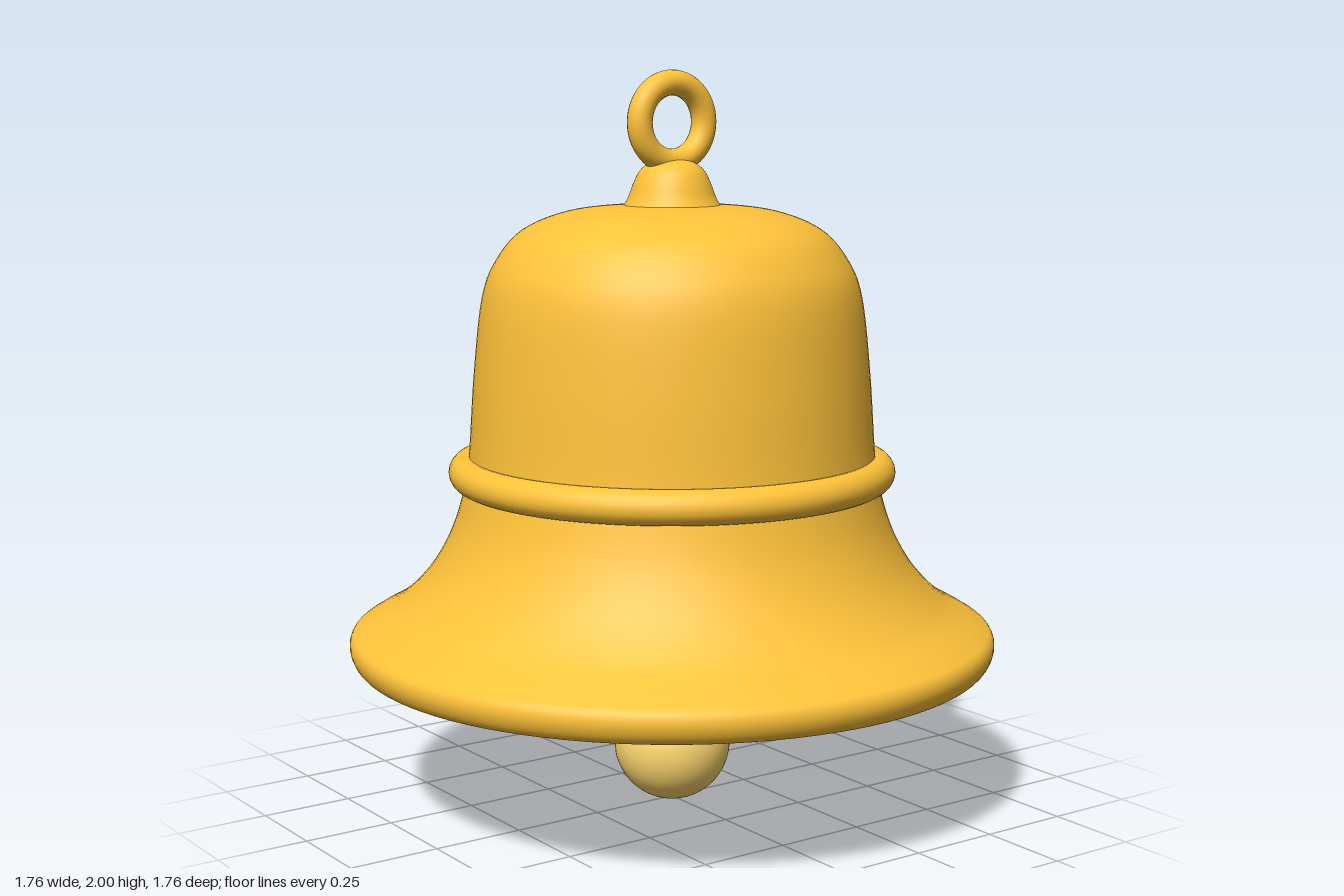
import * as THREE from 'three';

const SEGMENTS = 96;
const material = (color) => new THREE.MeshStandardMaterial({ color });

// Smooth curve through a few [radius, height] pairs
function smooth(pairs, count = 48) {
  const curve = new THREE.SplineCurve(pairs.map(([r, y]) => new THREE.Vector2(r, y)));
  const points = curve.getPoints(count);
  points.forEach((p) => { p.x = Math.max(0, p.x); });
  return points;
}

export function createModel() {
  const model = new THREE.Group();
  const gold = material(0xffc33a);
  const brown = material(0xa86818);
  const pale = material(0xffda70);

  function add(name, geometry, mat, y = 0) {
    const mesh = new THREE.Mesh(geometry, mat);
    mesh.name = name;
    mesh.position.y = y;
    model.add(mesh);
    return mesh;
  }
  const lathe = (points) => new THREE.LatheGeometry(points, SEGMENTS);

  // Outer shell, from the rounded lip up to the crown
  add('bellShell', lathe(smooth([
    [0.81, 0.405], [0.845, 0.406], [0.868, 0.424], [0.88, 0.457], [0.873, 0.488], [0.842, 0.511],
    [0.745, 0.57], [0.66, 0.66], [0.6, 0.768], [0.564, 0.885], [0.55, 0.98], [0.534, 1.2],
    [0.51, 1.4], [0.47, 1.5], [0.40, 1.578], [0.28, 1.626], [0.13, 1.643], [0, 1.646],
  ], 108)), gold);

  // Inner wall, from the crown down to the lip
  add('bellInside', lathe(smooth([
    [0, 1.595], [0.25, 1.58], [0.36, 1.53], [0.425, 1.45], [0.46, 1.35], [0.482, 1.2], [0.497, 0.98],
    [0.51, 0.885], [0.545, 0.765], [0.603, 0.645], [0.675, 0.55], [0.745, 0.475], [0.81, 0.405],
  ], 72)), brown);

  // Raised band around the waist
  const band = new THREE.TorusGeometry(0.56, 0.046, 20, SEGMENTS);
  band.rotateX(Math.PI / 2);
  add('waistBand', band, gold, 0.928);

  // Flared knob on the crown
  add('crownKnob', lathe(smooth([
    [0.132, 1.638], [0.117, 1.665], [0.104, 1.7], [0.088, 1.732], [0.064, 1.753], [0.034, 1.763], [0, 1.767],
  ], 32)), gold);

  // Hanging ring
  add('hangingRing', new THREE.TorusGeometry(0.104, 0.034, 20, 64), gold, 1.862);

  // Clapper rod and ball
  add('clapperRod', new THREE.CylinderGeometry(0.03, 0.03, 1.35, 24), brown, 0.92);
  add('clapperBall', new THREE.SphereGeometry(0.16, 48, 32), pale, 0.16);

  return model;
}
